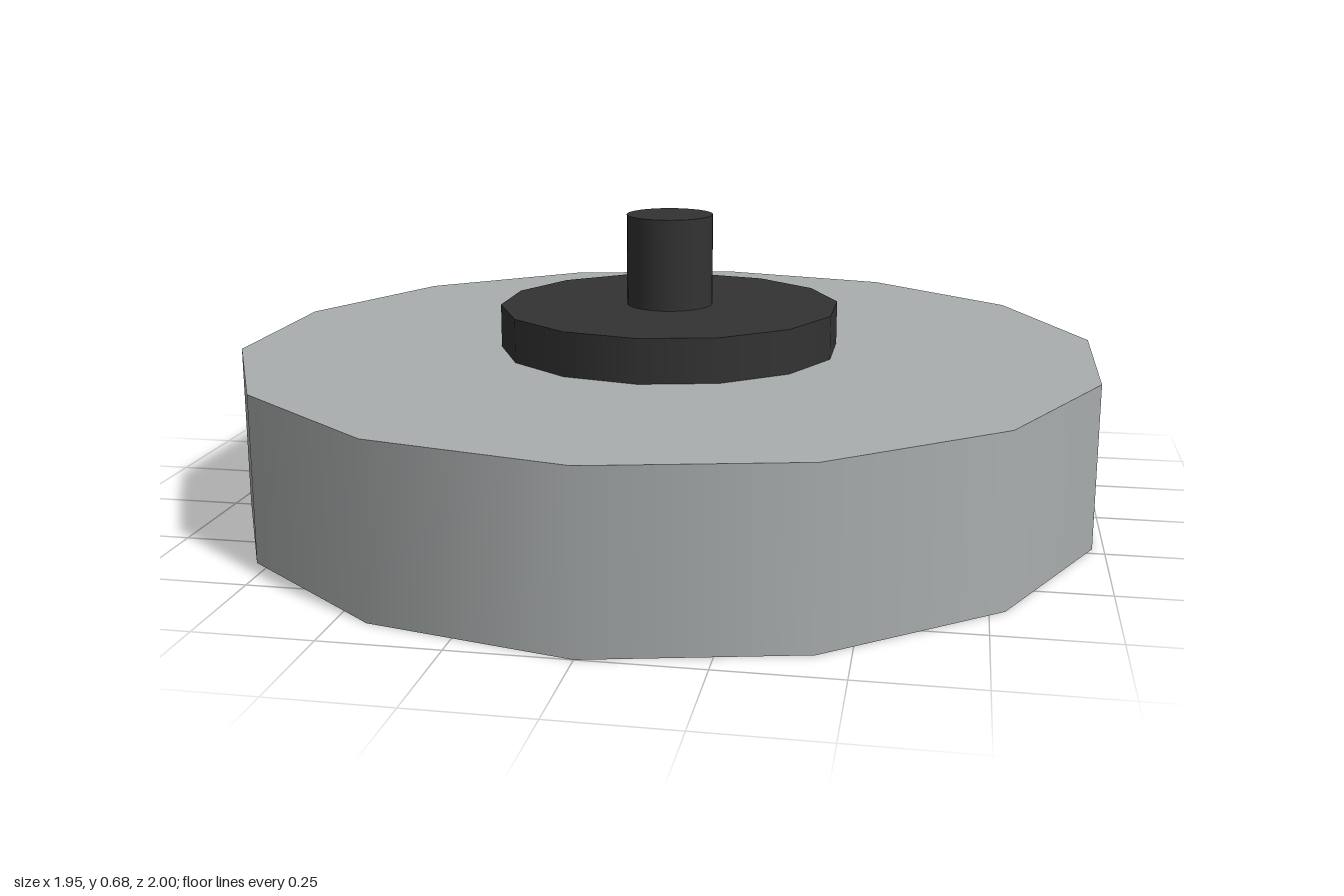
import * as THREE from 'three';

export function createModel() {
  const model = new THREE.Group();
  const grey = new THREE.MeshStandardMaterial({ color: 0xaaaeae });
  grey.name = 'grey';
  const black = new THREE.MeshStandardMaterial({ color: 0x333333 });
  black.name = 'black';

  // Upright cylinder standing between two heights
  function addDisc(name, radius, bottom, top, sides, material) {
    const geometry = new THREE.CylinderGeometry(radius, radius, top - bottom, sides);
    const mesh = new THREE.Mesh(geometry, material);
    mesh.name = name;
    mesh.position.y = (bottom + top) / 2;
    model.add(mesh);
  }

  // Wide fourteen-sided base, stepped collar and round pin
  addDisc('base', 1, 0, 0.37, 14, grey);
  addDisc('collar', 0.395, 0.37, 0.47, 14, black);
  addDisc('pin', 0.1, 0.47, 0.68, 32, black);

  return model;
}
